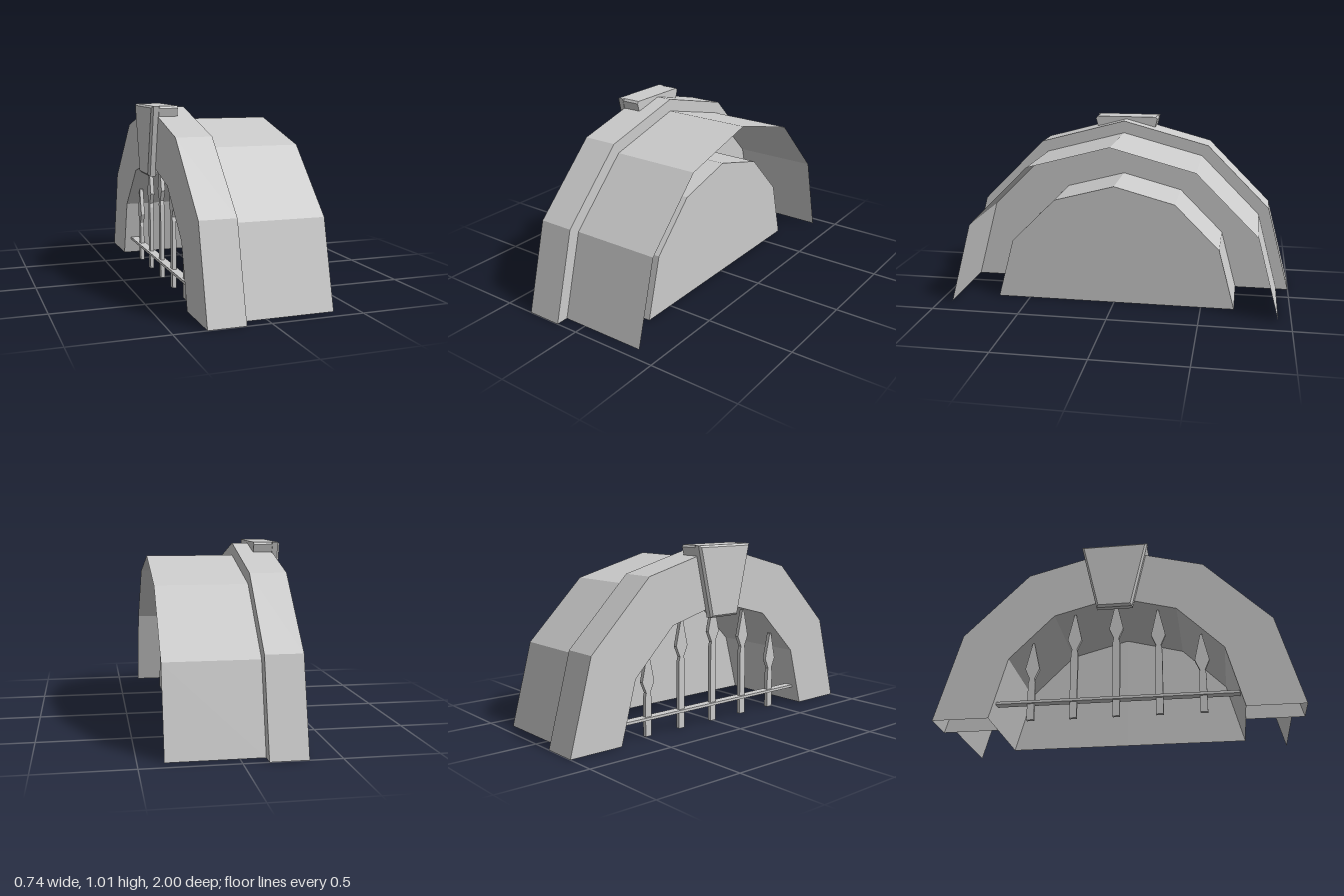
import * as THREE from 'three';

const OUTER = 1, SHELL = 0.93, INNER = 0.687, SIDES = 6;
const FRONT = -0.33, STEP = -0.13, PANEL = 0.24, BACK = 0.37;

export function createModel() {
  const group = new THREE.Group();
  const mat = new THREE.MeshStandardMaterial({ color: 0xcccccc, flatShading: true, side: THREE.DoubleSide });

  const add = (name, geo, x = 0, y = 0, z = 0) => {
    const mesh = new THREE.Mesh(geo, mat);
    mesh.name = name;
    mesh.position.set(x, y, z);
    group.add(mesh);
    return mesh;
  };

  // Open half-cylinder band running along x
  const band = (name, r, x0, x1) => add(name,
    new THREE.CylinderGeometry(r, r, x1 - x0, SIDES, 1, true, 0, Math.PI).rotateZ(Math.PI / 2), (x0 + x1) / 2);

  // Half ring facing along x (dir = 1 or -1)
  const halfRing = (name, x, dir) => add(name,
    new THREE.RingGeometry(INNER, OUTER, SIDES, 1, 0, Math.PI).rotateY(dir * Math.PI / 2), x);

  // Extrude a profile (z across, y up) along x
  const extrudeX = (points, depth, bevel = 0) => new THREE.ExtrudeGeometry(
    new THREE.Shape(points.map(([a, b]) => new THREE.Vector2(a, b))),
    { depth, bevelEnabled: bevel > 0, bevelSize: bevel, bevelThickness: bevel, bevelOffset: -bevel, bevelSegments: 1 },
  ).rotateY(Math.PI / 2);

  // Arch surround, vault and recessed window tunnel
  band('archOuter', OUTER, FRONT, STEP);
  halfRing('archFace', FRONT, -1);
  halfRing('archBackFace', STEP, 1);
  band('vaultShell', SHELL, STEP, BACK);
  band('tunnel', INNER, FRONT, PANEL);
  add('backPanel', new THREE.CircleGeometry(INNER, SIDES, 0, Math.PI).rotateY(Math.PI / 2), PANEL);

  // Keystone: tapered block on the face, with a cap lapping over the crown
  const b = 0.012;
  add('keystone', extrudeX([[-0.1, 0.615], [0.1, 0.615], [0.19, 1.013], [-0.19, 1.013]], 0.03, b), -0.37 + b);
  add('keystoneCap', extrudeX([[-0.175, 0.955], [0.175, 0.955], [0.187, 1.0],
    [0.178, 1.013], [-0.178, 1.013], [-0.187, 1.0]], 0.135), -0.355);

  // Spear-headed railing bars following the arch, tied by a flat rail
  const depth = 0.022, barX = -0.265;
  [0.455, 0.62, 0.675, 0.62, 0.455].forEach((h, i) => {
    const half = [[0.02, 0], [0.02, h - 0.24], [0.014, h - 0.215], [0.04, h - 0.155], [0.005, h]];
    const mirrored = half.map(([z, y]) => [-z, y]).reverse();
    add('railingBar', extrudeX([...half, ...mirrored], depth), barX - depth / 2, 0, (i - 2) * 0.235);
  });
  add('rail', new THREE.BoxGeometry(0.05, 0.015, 1.33), barX, 0.1);

  return group;
}
